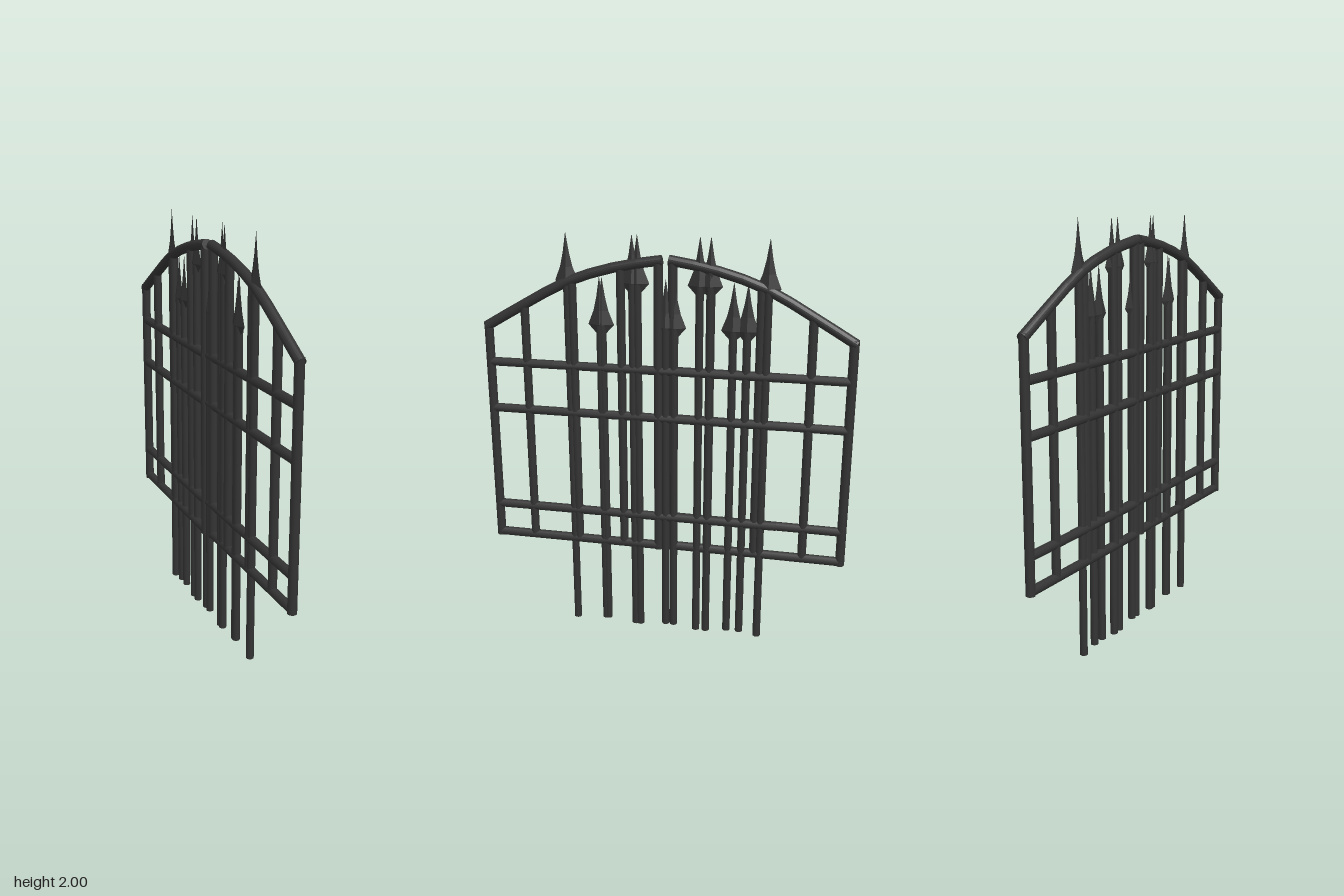
import * as THREE from 'three';

const iron = new THREE.MeshStandardMaterial({ color: 0x333333 });
const ironFlat = new THREE.MeshStandardMaterial({ color: 0x333333, flatShading: true });

function add(parent, name, geometry, material = iron) {
  const mesh = new THREE.Mesh(geometry, material);
  mesh.name = name;
  parent.add(mesh);
  return mesh;
}

// Upright round bar at depth z, from y0 to y1
function upright(parent, name, z, y0, y1, r = 0.021) {
  add(parent, name, new THREE.CylinderGeometry(r, r, y1 - y0, 10)).position.set(0, (y0 + y1) / 2, z);
}

// Level round bar at height y, from z0 to z1
function rail(parent, name, y, z0, z1, r = 0.022) {
  const mesh = add(parent, name, new THREE.CylinderGeometry(r, r, Math.abs(z1 - z0), 10));
  mesh.rotation.x = Math.PI / 2;
  mesh.position.set(0, y, (z0 + z1) / 2);
}

// Centre line of the arch: distance from the middle of the gate, height
const ARCH = [[0.875, 1.54], [0.67, 1.66], [0.456, 1.775], [0.217, 1.85], [0.015, 1.885]];

function archHeight(d) {
  for (let i = 0; i < ARCH.length - 1; i++) {
    const [a, ya] = ARCH[i], [b, yb] = ARCH[i + 1];
    if (d <= a && d >= b) return ya + (yb - ya) * (a - d) / (a - b);
  }
  return ARCH[0][1];
}

// One gate leaf; side is the sign of z, swing turns it about its outer post
function makeLeaf(side, swing) {
  const leaf = new THREE.Group();
  leaf.name = side > 0 ? 'frontLeaf' : 'backLeaf';
  const hinge = side * 0.865;
  const parts = new THREE.Group();
  parts.position.z = -hinge;
  leaf.position.z = hinge;
  leaf.rotation.y = swing;
  leaf.add(parts);

  upright(parts, 'outerPost', side * 0.865, 0.44, 1.56, 0.022);
  upright(parts, 'innerPost', side * 0.033, 0.44, 1.88, 0.022);
  for (const d of [0.68, 0.443, 0.21]) upright(parts, 'leafBar', side * d, 0.45, archHeight(d));
  for (const y of [0.457, 0.615, 1.13, 1.365]) rail(parts, 'leafRail', y, side * 0.86, side * 0.025);

  // Curved top bar
  const path = new THREE.CatmullRomCurve3(ARCH.map(([d, y]) => new THREE.Vector3(0, y, side * d)));
  const section = new THREE.Shape().absarc(0, 0, 0.024, 0, Math.PI * 2);
  add(parts, 'archBar', new THREE.ExtrudeGeometry(section, { steps: 8, curveSegments: 10, extrudePath: path }));
  return leaf;
}

// Flattened four-sided spear point, widest at its origin
const headProfile = [[0.015, -0.045], [0.056, 0], [0.03, 0.065], [0.015, 0.13], [0, 0.225]]
  .map(([r, y]) => new THREE.Vector2(r, y));
const headGeometry = new THREE.LatheGeometry(headProfile, 4).scale(0.35, 1, 1);

function makeSpear(z, bottom, tip) {
  const spear = new THREE.Group();
  spear.name = 'spear';
  upright(spear, 'spearShaft', z, bottom, tip - 0.225, 0.019);
  add(spear, 'spearHead', headGeometry, ironFlat).position.set(0, tip - 0.225, z);
  return spear;
}

export function createModel() {
  const gate = new THREE.Group();
  gate.name = 'gate';
  gate.add(makeLeaf(1, 0), makeLeaf(-1, -0.012));

  // Tall and short spears
  for (const z of [0.467, 0.155, 0.13, -0.16, -0.21, -0.473]) gate.add(makeSpear(z, 0, 2));
  for (const z of [0.312, 0.3, -0.003, -0.043, -0.317, -0.382]) gate.add(makeSpear(z, 0.015, 1.8));

  // Rails tying the spears together
  for (const y of [0.615, 1.13, 1.365]) rail(gate, 'spearRail', y, -0.55, 0.55);
  return gate;
}
